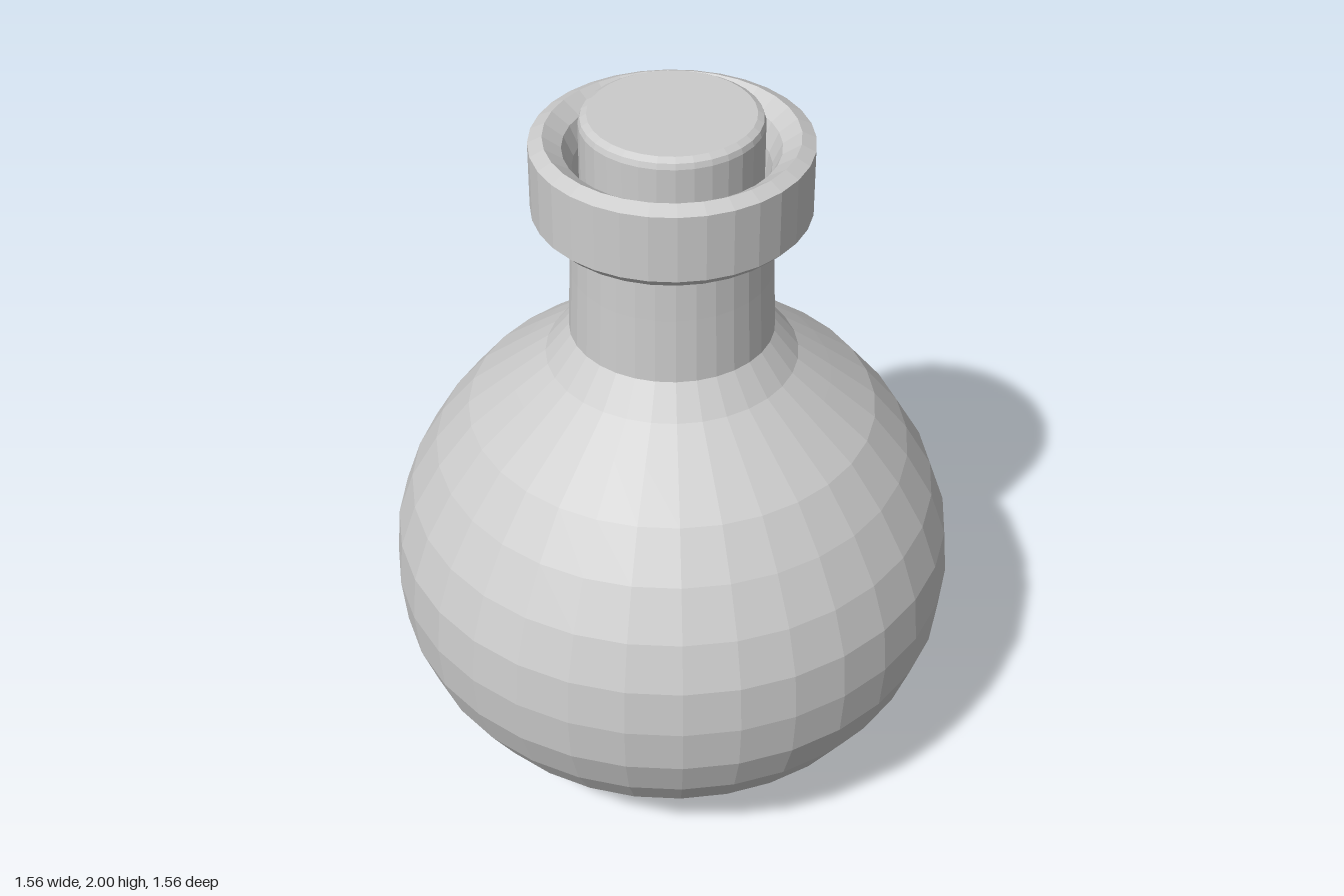
import * as THREE from 'three';

const SIDES = 32;
const material = new THREE.MeshStandardMaterial({
  color: 0xcccccc, flatShading: true, side: THREE.DoubleSide,
});

// Revolves a [radius, height] profile, listed from bottom to top, around y
function turned(name, profile) {
  const points = profile.map(([r, y]) => new THREE.Vector2(r, y));
  const mesh = new THREE.Mesh(new THREE.LatheGeometry(points, SIDES), material);
  mesh.name = name;
  return mesh;
}

export function createModel() {
  const flask = new THREE.Group();
  flask.name = 'flask';

  // Round bulb with a flattened base and a flared shoulder
  flask.add(turned('bulb', [
    [0, 0], [0.15, 0.004], [0.29, 0.015], [0.43, 0.05], [0.55, 0.12],
    [0.65, 0.22], [0.725, 0.335], [0.77, 0.46], [0.782, 0.595],
    [0.77, 0.73], [0.725, 0.86], [0.65, 0.99], [0.555, 1.11],
    [0.43, 1.21], [0.34, 1.28], [0.275, 1.365],
  ]));

  // Slightly tapered neck
  flask.add(turned('neck', [[0.275, 1.365], [0.268, 1.55], [0.264, 1.72]]));

  // Thick bevelled collar with a funnelled mouth
  flask.add(turned('collar', [
    [0.25, 1.69], [0.31, 1.69], [0.335, 1.705], [0.365, 1.735],
    [0.365, 1.92], [0.328, 1.938], [0.28, 1.905], [0.255, 1.85], [0.242, 1.76],
  ]));

  // Stopper with a rounded top edge
  flask.add(turned('stopper', [
    [0, 1.6], [0.237, 1.6], [0.237, 1.975], [0.232, 1.99], [0.215, 2], [0, 2],
  ]));

  return flask;
}
